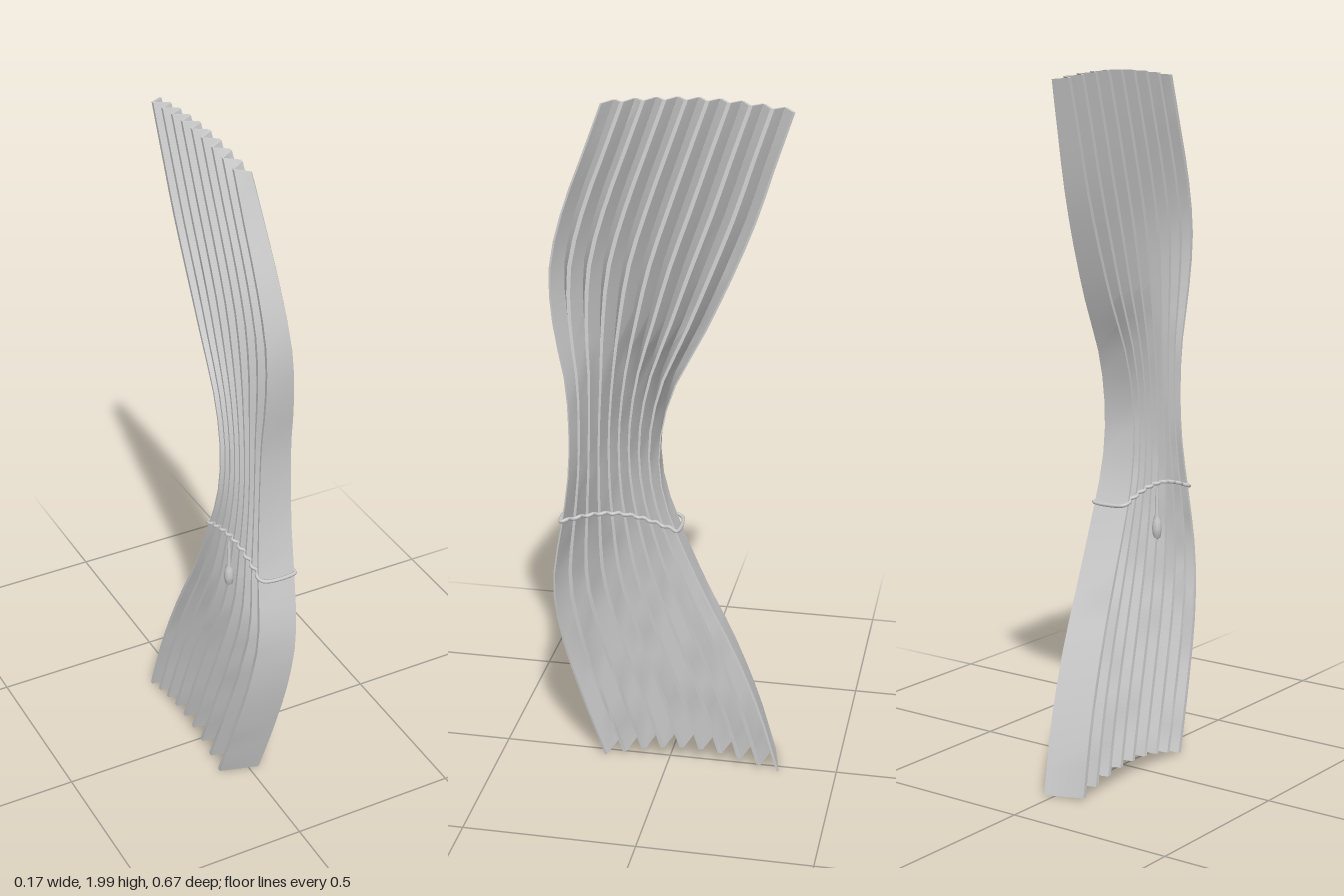
import * as THREE from 'three';
import { toCreasedNormals } from 'three/addons/utils/BufferGeometryUtils.js';

const PLEATS = 9, ROWS = 26;

// Curtain outline by height: y, front z, back z, outer x (+), inner x (-)
const PROFILE = [
  [0, .19, -.33, .03, -.088], [.2, .255, -.275, .045, -.072], [.4, .31, -.20, .058, -.055],
  [.58, .33, -.115, .069, -.038], [.78, .30, -.03, .076, -.028], [.9, .282, .008, .076, -.02],
  [1.04, .275, .016, .074, -.015], [1.2, .285, -.02, .066, -.015], [1.36, .318, -.10, .053, -.018],
  [1.52, .33, -.172, .038, -.024], [1.68, .297, -.235, .021, -.032], [1.84, .24, -.285, .005, -.04],
  [1.98, .19, -.33, -.011, -.046],
];

// Smooth interpolation of one outline column
function outline(y, col) {
  let i = 0;
  while (i < PROFILE.length - 2 && PROFILE[i + 1][0] < y) i++;
  const at = k => PROFILE[Math.max(0, Math.min(PROFILE.length - 1, k))];
  const a = at(i), b = at(i + 1), slope = (p, q) => (q[col] - p[col]) / (q[0] - p[0] || 1);
  const h = b[0] - a[0], t = (y - a[0]) / h;
  const m0 = slope(at(i - 1), b) * h, m1 = slope(a, at(i + 2)) * h;
  const t2 = t * t, t3 = t2 * t;
  return (2 * t3 - 3 * t2 + 1) * a[col] + (t3 - 2 * t2 + t) * m0
    + (3 * t2 - 2 * t3) * b[col] + (t3 - t2) * m1;
}

// Hem and heading arch gently between the two edges
const arch = (u, y) => Math.sin(Math.PI * u) * (0.05 - 0.015 * y);

// Point on the curtain: u runs front to back, s from inner (0) to outer (1) fold
function fabricPoint(u, s, y) {
  const zf = outline(y, 1), zb = outline(y, 2), xo = outline(y, 3), xi = outline(y, 4);
  return new THREE.Vector3(xi + (xo - xi) * s, y + arch(u, y), zf + (zb - zf) * u);
}

// Zigzag pleats with narrow flattened crests
function pleatSteps() {
  const steps = [[0, 1]];
  for (let k = 1; k < PLEATS * 2; k++) {
    for (const d of [-0.1, 0.1]) steps.push([(k + d) / (PLEATS * 2), k % 2 ? 0 : 1]);
  }
  steps.push([1, 1]);
  return steps;
}

// Thin closed cloth sheet built from stacked cross-sections
function curtainGeometry() {
  const steps = pleatSteps(), n = steps.length, ring = n * 2;
  const pos = [], index = [];
  for (let j = 0; j <= ROWS; j++) {
    const y = 0.004 + 1.973 * j / ROWS;
    const mid = steps.map(([u, s]) => fabricPoint(u, s, y));
    const half = 0.0065 * (outline(y, 1) - outline(y, 2));
    const sides = [1, -1].map(sign => mid.map((p, k) => {
      const a = mid[Math.max(0, k - 1)], b = mid[Math.min(n - 1, k + 1)];
      const normal = new THREE.Vector3(a.z - b.z, 0, b.x - a.x).normalize();
      return p.clone().addScaledVector(normal, sign * half);
    }));
    for (const p of [...sides[0], ...sides[1].reverse()]) pos.push(p.x, p.y, p.z);
  }
  const quad = (a, b, c, d) => index.push(a, b, c, a, c, d);
  for (let j = 0; j < ROWS; j++) {
    for (let i = 0; i < ring; i++) {
      const k = (i + 1) % ring, r = j * ring;
      quad(r + i, r + k, r + ring + k, r + ring + i);
    }
  }
  // Hem and heading edges
  const top = ROWS * ring;
  for (let i = 0; i < n - 1; i++) {
    quad(top + i, top + i + 1, top + ring - 2 - i, top + ring - 1 - i);
    quad(ring - 1 - i, ring - 2 - i, i + 1, i);
  }
  const g = new THREE.BufferGeometry();
  g.setAttribute('position', new THREE.Float32BufferAttribute(pos, 3));
  g.setIndex(index);
  return toCreasedNormals(g, 0.45);
}

// Cord looped around the gathered folds, dipping a little between crests
function tieGeometry() {
  const points = [], y = 0.782;
  for (const side of [1, 0]) {
    for (let i = 0; i <= PLEATS * 2; i++) {
      const k = side ? i : PLEATS * 2 - i;
      const onCrest = (k % 2 === 0) === (side === 1);
      const p = fabricPoint(k / (PLEATS * 2), side, y);
      p.x += (side ? 1 : -1) * (onCrest ? 0.003 : -0.008);
      if (k === 0) p.z += 0.003;
      if (k === PLEATS * 2) p.z -= 0.003;
      points.push(p);
    }
  }
  const curve = new THREE.CatmullRomCurve3(points, true, 'centripetal');
  return new THREE.TubeGeometry(curve, 150, 0.0055, 6, true);
}

export function createModel() {
  const group = new THREE.Group();
  const cloth = new THREE.MeshStandardMaterial({ color: 0xcccccc });
  cloth.name = 'pale grey cloth';
  const add = (name, geometry) => {
    const mesh = new THREE.Mesh(geometry, cloth);
    mesh.name = name;
    group.add(mesh);
    return mesh;
  };

  add('pleatedCurtain', curtainGeometry());
  add('tiebackCord', tieGeometry());

  // Tassel hanging from the cord on the inner side
  const tassel = [[0, -.055], [.011, -.045], [.015, -.02], [.012, .005], [.006, .02], [.005, .09], [0, .1]];
  const drop = add('tiebackTassel', new THREE.LatheGeometry(tassel.map(p => new THREE.Vector2(...p)), 10));
  drop.position.set(-0.034, 0.71, 0.12);
  return group;
}
